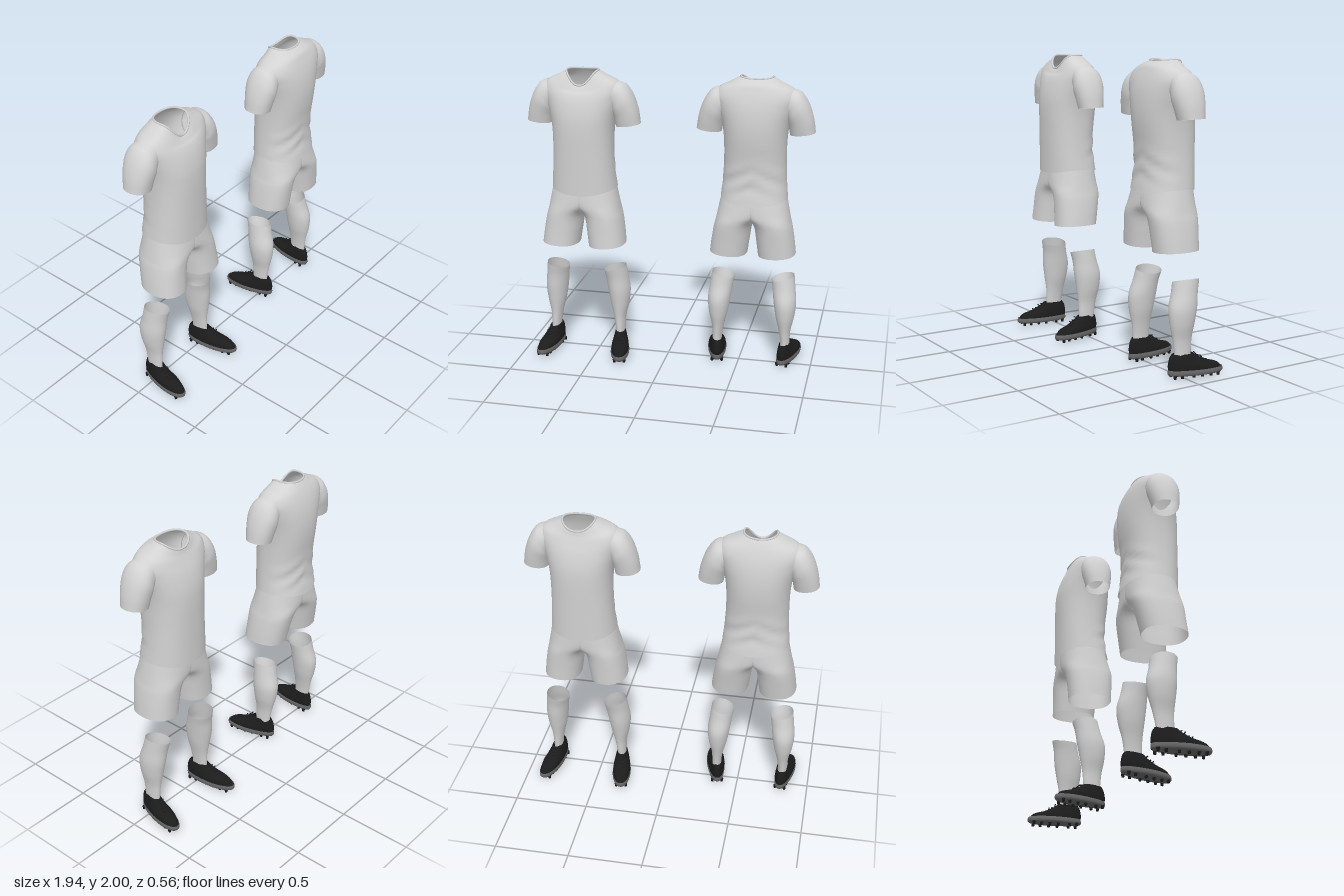
import * as THREE from 'three';

const mat = (name, color) => {
  const m = new THREE.MeshStandardMaterial({ color, side: THREE.DoubleSide });
  m.name = name;
  return m;
};

// A section is [innerX, innerY, outerX, outerY, zBack, zFront, frontDip, backDip].
function ring(s, seg, n, p) {
  const [ax, ay, bx, by, zb, zf, df = 0, db = 0] = s;
  const pts = [];
  for (let j = 0; j < seg; j++) {
    const a = (j / seg) * Math.PI * 2, c = Math.cos(a), q = Math.sin(a);
    const C = Math.sign(c) * Math.abs(c) ** (2 / n), S = Math.sign(q) * Math.abs(q) ** (2 / n);
    pts.push(new THREE.Vector3(
      (ax + bx) / 2 + C * (bx - ax) / 2,
      (ay + by) / 2 + C * (by - ay) / 2 - (q > 0 ? df : db) * Math.abs(q) ** p,
      (zb + zf) / 2 + S * (zf - zb) / 2));
  }
  return pts;
}

// Smooth skin through sections stacked from bottom to top
function loft(sections, { seg = 48, n = 2.2, p = 2, sub = 5, warp = null, half = false } = {}) {
  const rings = sections.map(s => ring(s, seg, n, p));
  const rows = (sections.length - 1) * sub;
  const pos = [], idx = [], grid = [];
  for (let j = 0; j < seg; j++) {
    const pts = new THREE.CatmullRomCurve3(rings.map(r => r[j])).getPoints(rows);
    pts.forEach(v => {
      if (warp) warp(v);
      if (half) v.x = Math.max(0, v.x);
      pos.push(v.x, v.y, v.z);
      grid.push(v.x);
    });
  }
  const id = (i, j) => (j % seg) * (rows + 1) + i;
  for (let i = 0; i < rows; i++) for (let j = 0; j < seg; j++) {
    const a = id(i, j), u = id(i + 1, j), b = id(i, j + 1), ub = id(i + 1, j + 1);
    if (half && Math.max(grid[a], grid[u], grid[b], grid[ub]) < 1e-4) continue; // no wall on the centre plane
    idx.push(a, u, b, b, u, ub);
  }
  const g = new THREE.BufferGeometry();
  g.setAttribute('position', new THREE.Float32BufferAttribute(pos, 3));
  g.setIndex(idx);
  g.computeVertexNormals();
  return g;
}

function add(parent, name, geo, material) {
  const m = new THREE.Mesh(geo, material);
  m.name = name;
  parent.add(m);
  return m;
}

// Section symmetric about x = 0
const sym = (y, rx, zb, zf, df, db) => [-rx, y, rx, y, zb, zf, df, db];

function makeShoe(M) {
  const shoe = new THREE.Group();
  const taper = v => { v.x *= 0.88 + 0.12 * THREE.MathUtils.smoothstep(v.z, -0.05, 0.15); };
  add(shoe, 'upper', loft([
    sym(0.045, 0.062, -0.09, 0.275), sym(0.075, 0.06, -0.095, 0.25), sym(0.1, 0.052, -0.092, 0.175),
    sym(0.13, 0.043, -0.085, 0.11), sym(0.155, 0.036, -0.07, 0.075),
  ], { seg: 32, warp: taper }), M.shoe);
  add(shoe, 'sole', loft([
    sym(0.018, 0.001, 0.08, 0.1), sym(0.018, 0.06, -0.09, 0.275),
    sym(0.035, 0.066, -0.096, 0.284), sym(0.054, 0.062, -0.092, 0.278),
  ], { seg: 32, sub: 2, warp: taper }), M.sole);
  // studs
  for (const z of [-0.06, -0.01, 0.07, 0.13, 0.19, 0.24]) for (const x of [-0.033, 0.033]) {
    add(shoe, 'stud', new THREE.CylinderGeometry(0.012, 0.009, 0.022, 8), M.shoe).position.set(x, 0.011, z);
  }
  // laces
  for (let i = 0; i < 4; i++) {
    const lace = add(shoe, 'lace', new THREE.CapsuleGeometry(0.004, 0.045, 3, 6), M.shoe);
    lace.position.set(0, 0.147 - i * 0.014, 0.092 + i * 0.022);
    lace.rotation.z = Math.PI / 2 + (i % 2 ? 0.2 : -0.2);
  }
  return shoe;
}

// opt: neckline depth and shape, back of neck, shorts lean, sock lean, toe angles
function makeKit(M, opt) {
  const kit = new THREE.Group();
  const d = opt.dip;

  // shirt body with light folds low on the back
  const neck = sym(1.992, 0.106, opt.neckBack, opt.neckFront, 0.09 * d, 0.006);
  add(kit, 'shirtBody', loft([
    sym(1.195, 0.222, -0.175, 0.185, 0.028, 0.028), sym(1.3, 0.212, -0.155, 0.187),
    sym(1.45, 0.205, -0.158, 0.19), sym(1.6, 0.208, -0.175, 0.192),
    sym(1.7, 0.222, -0.178, 0.186), sym(1.8, 0.25, -0.168, 0.163),
    sym(1.87, 0.268, -0.15, 0.14, 0.02 * d), sym(1.92, 0.245, -0.13, 0.127, 0.055 * d),
    sym(1.957, 0.175, -0.11, 0.117, 0.077 * d), neck,
  ], {
    seg: 64, n: 2.3, p: opt.neckPower, warp: v => {
      const w = Math.max(0, 1 - Math.abs(v.y - 1.33) / 0.14);
      if (v.z < 0) v.z += 0.007 * w * Math.sin(v.y * 55 + Math.abs(v.x) * 28);
    },
  }), M.cloth);
  const rim = new THREE.CatmullRomCurve3(ring(neck, 48, 2.3, opt.neckPower), true);
  add(kit, 'collar', new THREE.TubeGeometry(rim, 80, 0.007, 6, true), M.cloth);

  for (const side of [1, -1]) {
    const half = new THREE.Group();
    half.name = side > 0 ? 'leftSide' : 'rightSide';
    half.scale.x = side;
    kit.add(half);

    add(half, 'sleeve', loft([
      [0.225, 1.626, 0.39, 1.645, -0.087, 0.083], [0.215, 1.68, 0.374, 1.74, -0.102, 0.096],
      [0.205, 1.72, 0.338, 1.84, -0.113, 0.106], [0.2, 1.74, 0.29, 1.905, -0.108, 0.1],
      [0.18, 1.76, 0.24, 1.925, -0.095, 0.09],
    ]), M.cloth);

    add(half, 'shortsLeg', loft([
      [0.038, 0.797, 0.288, 0.81, -0.132, 0.165], [0.024, 0.9, 0.277, 0.9, -0.145, 0.165],
      [0.006, 1, 0.26, 1, -0.16, 0.168], [-0.025, 1.04, 0.25, 1.04, -0.165, 0.17],
      [-0.13, 1.1, 0.238, 1.1, -0.165, 0.172], [-0.216, 1.21, 0.216, 1.21, -0.155, 0.168],
    ], { half: true, seg: 64, n: 2.3, warp: v => { v.z += opt.shortsLean * (1.2 - v.y) / 0.4; } }), M.cloth);

    add(half, 'sock', loft([
      [0.203, 0.08, 0.265, 0.08, -0.06, 0.05], [0.203, 0.16, 0.267, 0.16, -0.065, 0.055],
      [0.19, 0.25, 0.272, 0.25, -0.08, 0.056], [0.166, 0.35, 0.294, 0.35, -0.105, 0.068],
      [0.15, 0.45, 0.303, 0.45, -0.115, 0.08], [0.138, 0.54, 0.292, 0.55, -0.092, 0.085],
      [0.128, 0.598, 0.282, 0.635, -0.08, 0.098],
    ], { seg: 32, n: 2, warp: v => { v.z += opt.sockLean * v.y; } }), M.cloth);

    const shoe = makeShoe(M);
    shoe.name = 'shoe';
    shoe.position.x = 0.235;
    shoe.rotation.y = side > 0 ? opt.toes[0] : opt.toes[1];
    half.add(shoe);
  }
  return kit;
}

export function createModel() {
  const M = {
    cloth: mat('lightGreyCloth', 0xd2d2d2),
    shoe: mat('blackShoe', 0x1c1c1c),
    sole: mat('greySole', 0x666666),
  };
  const model = new THREE.Group();
  model.name = 'sportsKits';

  // V-neck kit facing forward
  const front = makeKit(M, {
    dip: 1, neckPower: 3, neckBack: -0.09, neckFront: 0.1,
    shortsLean: 0.025, sockLean: 0, toes: [0.2, 0.14],
  });
  front.name = 'vNeckKit';
  front.position.x = -0.582;

  // Round-neck kit facing backward
  const back = makeKit(M, {
    dip: 0.55, neckPower: 2, neckBack: -0.06, neckFront: 0.11,
    shortsLean: -0.02, sockLean: 0.06, toes: [0.16, 0.2],
  });
  back.name = 'roundNeckKit';
  back.position.x = 0.582;
  back.rotation.y = Math.PI;

  model.add(front, back);
  return model;
}
